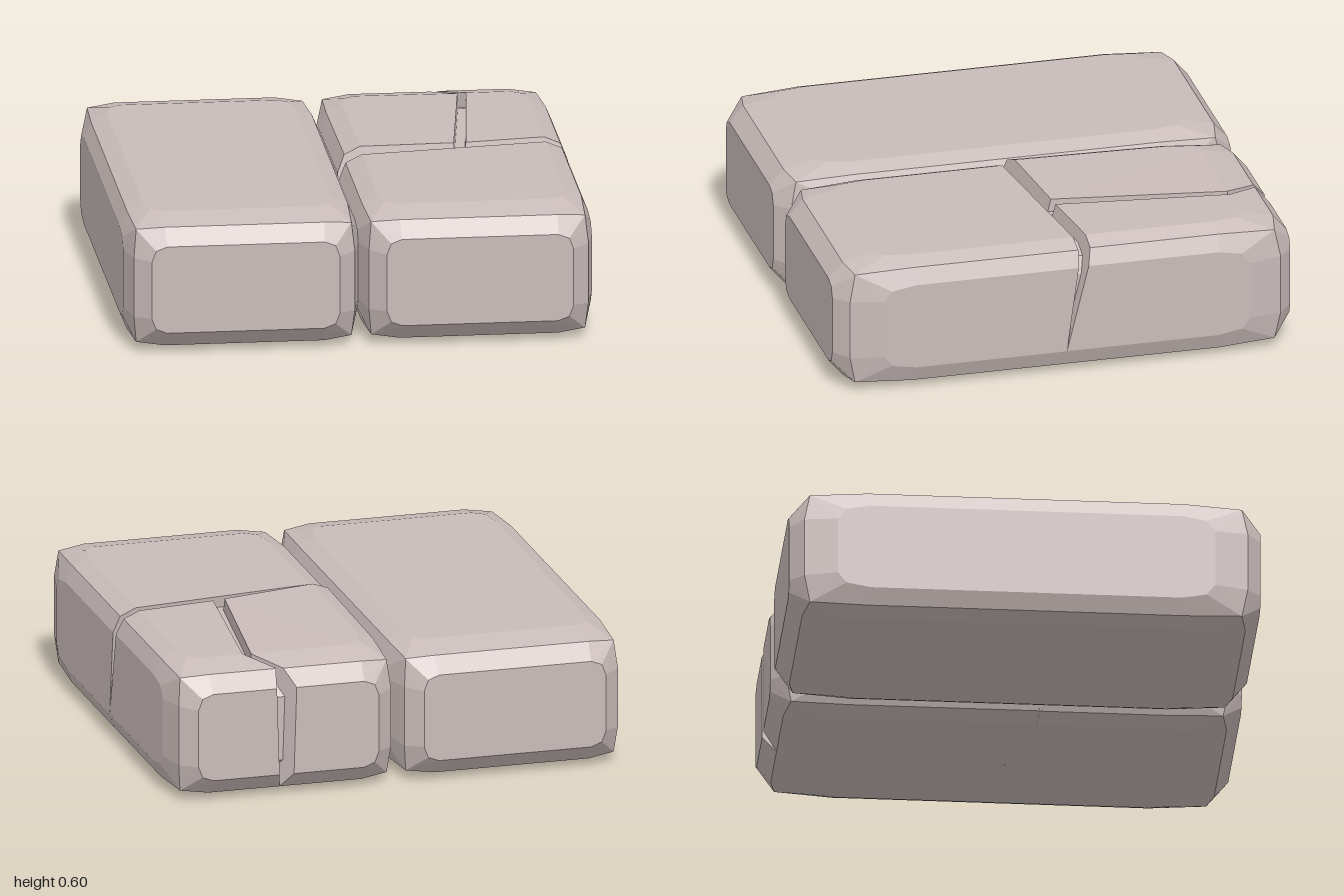
import * as THREE from 'three';
import { ConvexGeometry } from 'three/addons/geometries/ConvexGeometry.js';

const V = (x, y, z) => new THREE.Vector3(x, y, z);
const material = new THREE.MeshStandardMaterial({ color: 0xc9bcba, flatShading: true });

// Corner points of a chamfered slab, as insets from one corner in units of the bevel size
const CORNER = [
  [0.42, 0.42, 0.42],
  [1.6, 0.3, 0.3], [0.3, 1.6, 0.3], [0.3, 0.3, 1.65],
  [1.65, 0, 1], [1.18, 0, 1.18], [1, 0, 1.7],
  [0, 1.65, 1], [0, 1.18, 1.18], [0, 1, 1.7],
  [1.65, 1, 0], [1.18, 1.18, 0], [1, 1.65, 0],
];

// Mirrored into all eight corners, shrunk evenly by inset
function slabPoints(cx, hx, inset = 0) {
  const pts = [];
  for (const sx of [-1, 1]) for (const sy of [-1, 1]) for (const sz of [-1, 1])
    for (const [a, b, c] of CORNER)
      pts.push(V(
        cx + sx * (hx - inset - 0.1 * a),
        0.29 + sy * (0.29 - inset - 0.1 * b),
        sz * (1 - inset - 0.2 * c)));
  return pts;
}

// Keeps the part of a convex point set on the side of the plane (through a, b, c) that holds "keep"
function cut(points, [a, b, c], keep) {
  const plane = new THREE.Plane().setFromCoplanarPoints(a, b, c);
  if (plane.distanceToPoint(keep) < 0) plane.negate();
  const pos = new ConvexGeometry(points).attributes.position;
  const found = new Map();
  const add = (p) => found.set([p.x, p.y, p.z].map((n) => n.toFixed(4)).join(), p);
  for (let i = 0; i < pos.count; i += 3) {
    for (let k = 0; k < 3; k++) {
      const p = new THREE.Vector3().fromBufferAttribute(pos, i + k);
      const q = new THREE.Vector3().fromBufferAttribute(pos, i + (k + 1) % 3);
      const dp = plane.distanceToPoint(p), dq = plane.distanceToPoint(q);
      if (dp >= 0) add(p);
      if (dp * dq < 0) add(p.clone().lerp(q, dp / (dp - dq)));
    }
  }
  return [...found.values()];
}

// Convex stone piece, optionally lifted by a height rule
function stone(name, points, lift) {
  const geo = new ConvexGeometry(points);
  if (lift) {
    const pos = geo.attributes.position;
    for (let i = 0; i < pos.count; i++) {
      const y = pos.getY(i);
      pos.setY(i, y * (1 + lift(pos.getX(i), pos.getZ(i)) / 0.58));
    }
    geo.computeVertexNormals();
  }
  const mesh = new THREE.Mesh(geo, material);
  mesh.name = name;
  return mesh;
}

export function createModel() {
  const group = new THREE.Group();
  group.name = 'pavingSlabs';

  // Whole slab
  group.add(stone('wholeSlab', slabPoints(-0.5, 0.5)));

  // Cracked slab: a core that closes the cracks, with pieces around it
  const cracked = new THREE.Group();
  cracked.name = 'crackedSlab';
  group.add(cracked);
  const full = slabPoints(0.497, 0.497);
  cracked.add(stone('crackFloor', slabPoints(0.497, 0.497, 0.05)));

  // Cross crack: two walls that open upwards
  const foot = V(1, 0.1, 0);
  const frontWall = [V(0, 0.58, 0.065), V(1, 0.58, -0.065), foot];
  const backWall = [V(0, 0.58, 0.01), V(1, 0.58, -0.12), foot];
  cracked.add(stone('frontPiece', cut(full, frontWall, V(0.5, 0.3, 0.8))));
  const back = cut(full, backWall, V(0.5, 0.3, -0.8));

  // Long crack: bent walls that meet at y = 0.1
  const wall = ([x1, z1], [x2, z2], mx1, mx2) => [V(x1, 0.58, z1), V(x2, 0.58, z2), V((mx1 + mx2) / 2, 0.1, (z1 + z2) / 2)];
  const leftOf = V(0.1, 0.3, -0.6), rightOf = V(0.95, 0.3, -0.6);

  let inner = cut(back, wall([0.505, -0.06], [0.605, -0.8], 0.53, 0.62), leftOf);
  inner = cut(inner, wall([0.605, -0.8], [0.51, -0.93], 0.62, 0.525), leftOf);
  cracked.add(stone('backInnerPiece', inner, (x, z) => 0.003 + 0.02 * (1 + z) * Math.max(0, 1 - 1.6 * x)));

  // Outer piece, in three convex parts along the bend
  const outer = new THREE.Group();
  outer.name = 'backOuterPiece';
  cracked.add(outer);
  const bends = [[0.555, -0.05, 0.53], [0.642, -0.8, 0.62], [0.537, -0.935, 0.525], [0.552, -1, 0.535]];
  const across = (z) => [V(0, 0, z), V(1, 0, z), V(0, 1, z)];
  for (let i = 0; i < 3; i++) {
    const [x1, z1, m1] = bends[i], [x2, z2, m2] = bends[i + 1];
    let part = cut(back, wall([x1, z1], [x2, z2], m1, m2), rightOf);
    if (i > 0) part = cut(part, across(z1), V(0.5, 0, -2));
    if (i < 2) part = cut(part, across(z2), V(0.5, 0, 2));
    outer.add(stone('outerPart' + (i + 1), part, () => 0.005));
  }
  return group;
}
